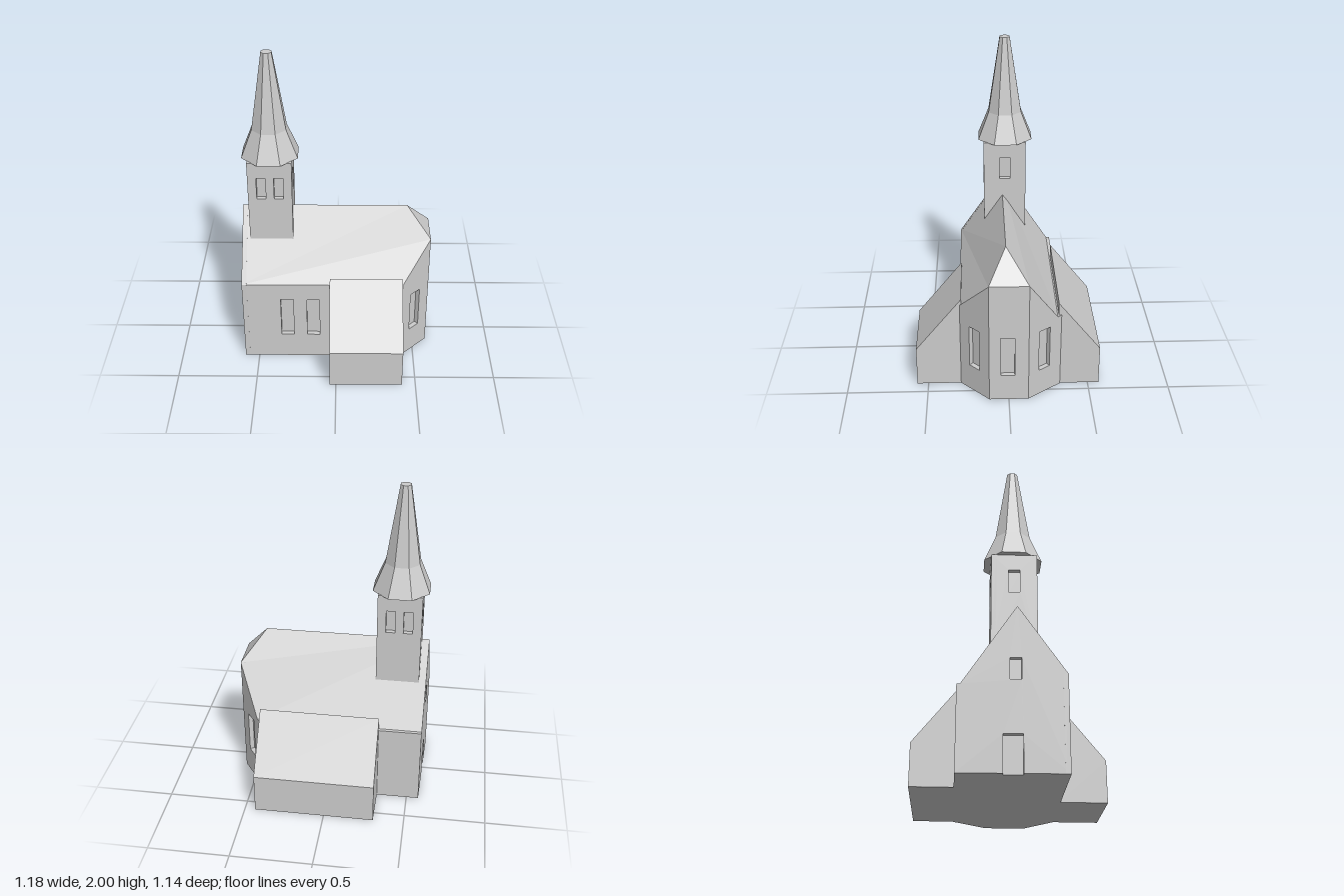
import * as THREE from 'three';

const stone = new THREE.MeshStandardMaterial({ color: 0xcccccc });
stone.name = 'pale stone';
const RECESS = 0.03;

function addMesh(parent, name, geometry) {
  const flat = geometry.index ? geometry.toNonIndexed() : geometry;
  flat.computeVertexNormals();
  const mesh = new THREE.Mesh(flat, stone);
  mesh.name = name;
  parent.add(mesh);
  return mesh;
}

const toShape = pts => new THREE.Shape(pts.map(p => new THREE.Vector2(p[0], p[1])));
const rect = (u, w, y0, y1) => [[u - w / 2, y0], [u + w / 2, y0], [u + w / 2, y1], [u - w / 2, y1]];

// Convex polygon, corners counter-clockwise from outside
function face(parent, name, pts) {
  const pos = [];
  for (let i = 1; i < pts.length - 1; i++) pos.push(...pts[0], ...pts[i], ...pts[i + 1]);
  const g = new THREE.BufferGeometry();
  g.setAttribute('position', new THREE.Float32BufferAttribute(pos, 3));
  addMesh(parent, name, g);
}

// Wall from a to b ([x, z], left to right from outside) with recessed openings;
// outline is in (distance along wall, height)
function wall(parent, name, a, b, outline, openings = [], door = null) {
  const group = new THREE.Group();
  group.name = name;
  const u = new THREE.Vector3(b[0] - a[0], 0, b[1] - a[1]).normalize();
  const up = new THREE.Vector3(0, 1, 0);
  group.matrixAutoUpdate = true;
  const m = new THREE.Matrix4().makeBasis(u, up, new THREE.Vector3().crossVectors(u, up));
  group.quaternion.setFromRotationMatrix(m);
  group.position.set(a[0], 0, a[1]);
  const shape = toShape(outline);
  openings.forEach(o => shape.holes.push(new THREE.Path(rect(...o).map(p => new THREE.Vector2(...p)))));
  const panel = new THREE.ExtrudeGeometry(shape, { depth: RECESS, bevelEnabled: false });
  addMesh(group, name + 'Panel', panel.translate(0, 0, -RECESS));
  const panes = door ? [...openings, door] : openings;
  panes.forEach(o => {
    const pane = new THREE.ShapeGeometry(toShape(rect(...o)));
    addMesh(group, o === door ? 'door' : 'windowPane', pane.translate(0, 0, -RECESS));
  });
  parent.add(group);
}

// Lean-to: section in (z, height) run along x
function annex(parent, name, x0, x1, section) {
  const shape = toShape(section.map(([z, y]) => [-z, y]));
  const g = new THREE.ExtrudeGeometry(shape, { depth: x1 - x0, bevelEnabled: false });
  addMesh(parent, name, g.rotateY(Math.PI / 2).translate(x0, 0, 0));
}

export function createModel() {
  const church = new THREE.Group();
  church.name = 'church';

  // Nave footprint, [x, z]
  const fw = [-0.59, 0.295], fe = [0.415, 0.295], e1 = [0.59, 0.12];
  const e2 = [0.59, -0.12], be = [0.44, -0.325], bw = [-0.575, -0.32];
  const len = (a, b) => Math.hypot(b[0] - a[0], b[1] - a[1]);
  const frontEave = 0.57, backEave = 0.505, hip = 0.8, ridge = 0.985;

  // Nave and apse walls
  const L1 = len(fw, fe), L2 = len(fe, e1), L4 = len(e2, be), L5 = len(be, bw), L6 = len(bw, fw);
  wall(church, 'frontWall', fw, fe, [[0, 0], [L1, 0], [L1, frontEave], [0, frontEave]],
    [[0.28, 0.08, 0.175, 0.455], [0.445, 0.08, 0.175, 0.455]]);
  wall(church, 'apseFrontWall', fe, e1, [[0, 0], [L2, 0], [L2, hip], [0, frontEave]],
    [[0.122, 0.085, 0.175, 0.455]]);
  wall(church, 'apseEndWall', e1, e2, [[0, 0], [0.24, 0], [0.24, hip], [0, hip]],
    [[0.113, 0.085, 0.175, 0.445]]);
  wall(church, 'apseBackWall', e2, be,
    [[0, 0], [L4, 0], [L4, backEave], [L4 * 0.88, backEave], [0, hip]],
    [[0.122, 0.085, 0.175, 0.455]]);
  wall(church, 'backWall', be, bw, [[0, 0], [L5, 0], [L5, backEave], [0, backEave]]);
  const d0 = 0.255, d1 = 0.365, dTop = 0.22;
  wall(church, 'gableWall', bw, fw,
    [[0, 0], [d0, 0], [d0, dTop], [d1, dTop], [d1, 0], [L6, 0], [L6, frontEave],
      [0.335, ridge], [0.02, backEave], [0, backEave]],
    [[0.325, 0.065, 0.535, 0.665]], [(d0 + d1) / 2, d1 - d0, 0, dTop]);

  // Roof
  const rw = [-0.583, ridge, 0.015], re = [0.44, ridge, 0.015];
  const h1 = [e1[0], hip, e1[1]], h2 = [e2[0], hip, e2[1]];
  const bEast = [0.458, backEave, -0.3], bWest = [-0.5755, backEave, -0.3];
  face(church, 'frontRoof', [[fw[0], frontEave, fw[1]], [fe[0], frontEave, fe[1]], h1, re, rw]);
  face(church, 'backRoof', [rw, re, h2, bEast, bWest]);
  face(church, 'hipRoof', [re, h1, h2]);
  face(church, 'backEave', [bWest, bEast, [be[0], backEave, be[1]], [bw[0], backEave, bw[1]]]);

  // Floor, notched at the door
  const floor = toShape([fw, fe, e1, e2, be, bw, [-0.581, -0.065], [-0.551, -0.065], [-0.554, 0.045], [-0.584, 0.045]]);
  addMesh(church, 'floor', new THREE.ShapeGeometry(floor).rotateX(Math.PI / 2));

  // Lean-to annexes
  annex(church, 'frontAnnex', -0.04, 0.415, [[0.57, 0], [0.57, 0.255], [0.285, 0.612], [0.285, 0]]);
  annex(church, 'backAnnex', -0.31, 0.435, [[-0.57, 0], [-0.57, 0.255], [-0.308, 0.585], [-0.308, 0]]);

  // Tower
  const tower = new THREE.Group();
  tower.name = 'tower';
  tower.position.set(-0.402, 0, 0);
  church.add(tower);
  const s = 0.134, top = 1.347;
  const corners = [[-s, s], [s, s], [s, -s], [-s, -s]];
  corners.forEach((c, i) => {
    const centres = i % 2 ? [s] : [s - 0.053, s + 0.053];
    wall(tower, 'towerWall', c, corners[(i + 1) % 4], [[0, 0.7], [2 * s, 0.7], [2 * s, top], [0, top]],
      centres.map(u => [u, i % 2 ? 0.068 : 0.056, 1.1, 1.245]));
  });
  face(tower, 'towerTop', corners.map(([x, z]) => [x, top, z]));

  // Eight-sided spire with a flared skirt; radii measured to the flat sides
  const rings = [[0.17, 1.345], [0.103, 1.52], [0.031, 2]];
  const k = 1 / Math.cos(Math.PI / 8);
  ['spireSkirt', 'spire'].forEach((name, i) => {
    const [r0, y0] = rings[i], [r1, y1] = rings[i + 1];
    const g = new THREE.CylinderGeometry(r1 * k, r0 * k, y1 - y0, 8, 1, false, Math.PI / 8);
    addMesh(tower, name, g.translate(0, (y0 + y1) / 2, -0.004));
  });

  return church;
}
